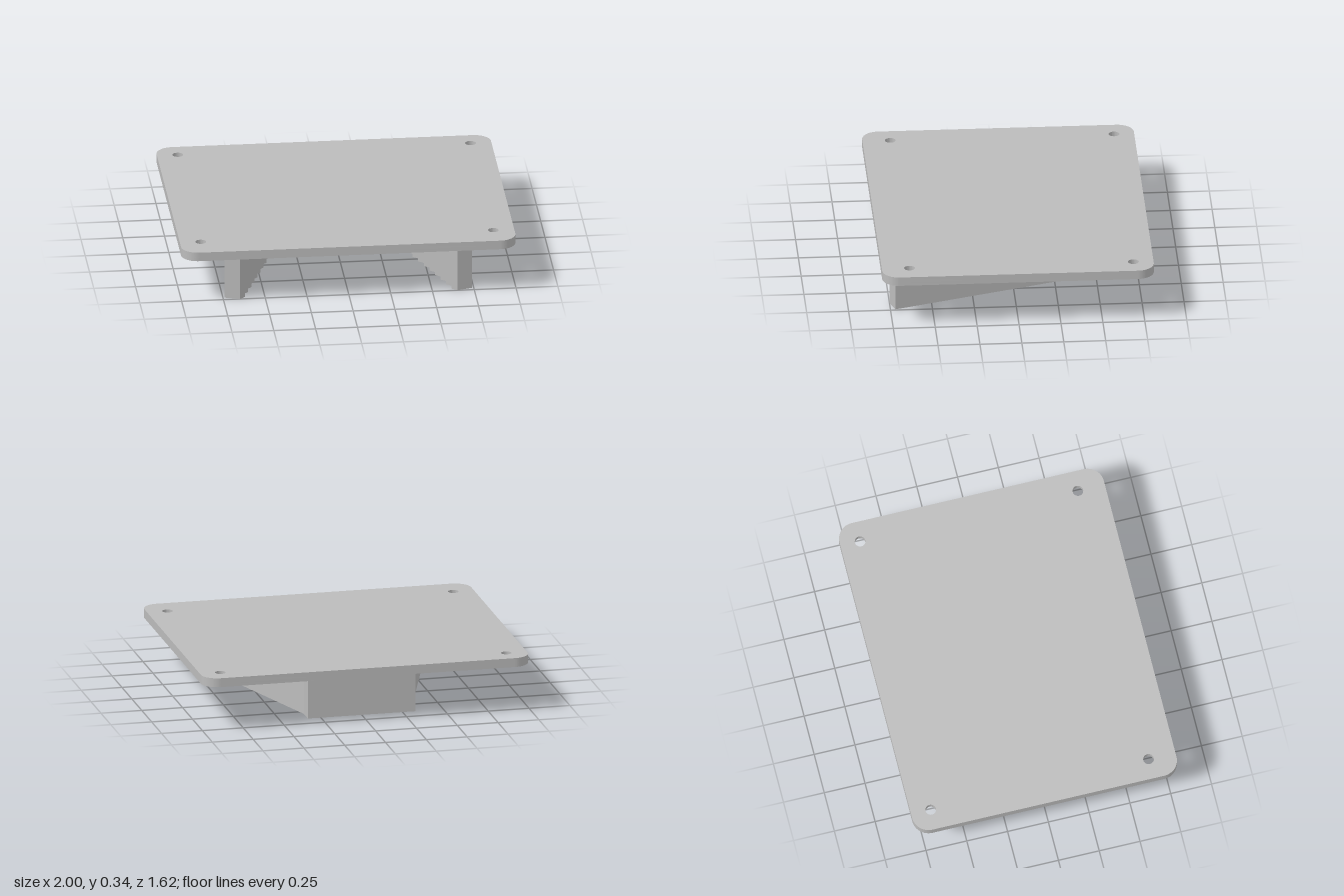
import * as THREE from 'three';
import { toCreasedNormals } from 'three/addons/utils/BufferGeometryUtils.js';

const PLATE_BOTTOM = 0.28, PLATE_TOP = 0.335, SINK = 0.022;
const HOLE_R = 0.032, SINK_R = 0.053;
const holes = [[-0.875, -0.69], [0.875, -0.69], [-0.875, 0.645], [0.875, 0.645]];

// Extrudes a floor plan upward from y0 to y1 (shape y is -z)
function extrudeUp(shape, y0, y1) {
  const g = new THREE.ExtrudeGeometry(shape, { depth: y1 - y0, bevelEnabled: false, curveSegments: 16 });
  g.rotateX(-Math.PI / 2);
  g.translate(0, y0, 0);
  return toCreasedNormals(g, 0.5);
}

// Rounded rectangle pierced by four corner holes
function plateShape(holeRadius) {
  const w = 1, d = 0.81, r = 0.1, s = new THREE.Shape();
  s.absarc(w - r, d - r, r, 0, Math.PI / 2);
  s.absarc(-w + r, d - r, r, Math.PI / 2, Math.PI);
  s.absarc(-w + r, -d + r, r, Math.PI, Math.PI * 1.5);
  s.absarc(w - r, -d + r, r, Math.PI * 1.5, Math.PI * 2);
  s.closePath();
  for (const [x, z] of holes) {
    s.holes.push(new THREE.Path().absarc(x, -z, holeRadius, 0, Math.PI * 2, true));
  }
  return s;
}

// Splayed arm with a serrated inner edge; side is +1 or -1
function armShape(side) {
  const teeth = 18, depth = 0.021;
  const front = new THREE.Vector2(0.65, 0.75), back = new THREE.Vector2(0.185, -0.55);
  const dir = back.clone().sub(front).normalize();
  const inward = new THREE.Vector2(dir.y, -dir.x);
  const points = [[0.33, -0.55], [0.74, 0.72]];
  for (let i = 0; i <= teeth * 2; i++) {
    const p = front.clone().lerp(back, i / (teeth * 2));
    if (i % 2) p.addScaledVector(inward, depth);
    points.push([p.x, p.y]);
  }
  return new THREE.Shape(points.map(([x, z]) => new THREE.Vector2(side * x, -z)));
}

export function createModel() {
  const model = new THREE.Group();
  const grey = new THREE.MeshStandardMaterial({ color: 0xbcbcbc });
  grey.name = 'light grey';
  const add = (name, geometry, parent = model) => {
    const mesh = new THREE.Mesh(geometry, grey);
    mesh.name = name;
    parent.add(mesh);
    return mesh;
  };

  // Plate in two layers, the lower one opened up for the countersinks
  const plate = new THREE.Group();
  plate.name = 'plate';
  model.add(plate);
  add('plateUpper', extrudeUp(plateShape(HOLE_R), PLATE_BOTTOM + SINK, PLATE_TOP), plate);
  add('plateLower', extrudeUp(plateShape(SINK_R), PLATE_BOTTOM, PLATE_BOTTOM + SINK), plate);

  // Countersink cones, turned inside out so they face the hole
  for (const [x, z] of holes) {
    const cone = new THREE.CylinderGeometry(HOLE_R, SINK_R, SINK, 32, 1, true);
    const index = cone.index.array;
    for (let i = 0; i < index.length; i += 3) {
      [index[i], index[i + 1]] = [index[i + 1], index[i]];
    }
    const normal = cone.attributes.normal;
    for (let i = 0; i < normal.array.length; i++) normal.array[i] *= -1;
    add('countersink', cone, plate).position.set(x, PLATE_BOTTOM + SINK / 2, z);
  }

  // Back block joining the two arms
  add('backBlock', new THREE.BoxGeometry(0.66, PLATE_BOTTOM, 0.1)).position.set(0, PLATE_BOTTOM / 2, -0.6);

  // Serrated arms
  add('leftArm', extrudeUp(armShape(1), 0, PLATE_BOTTOM));
  add('rightArm', extrudeUp(armShape(-1), 0, PLATE_BOTTOM));

  return model;
}
